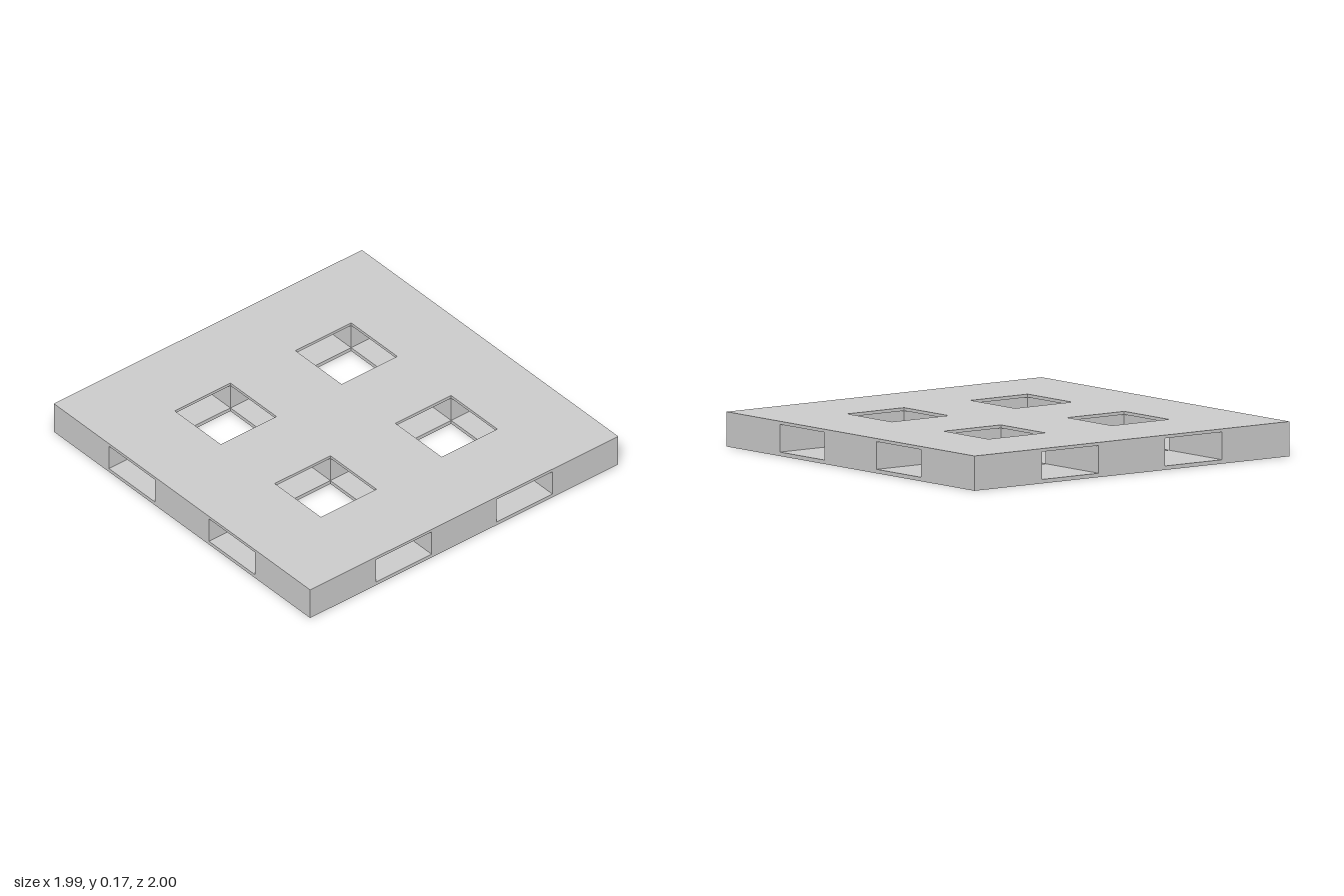
import * as THREE from 'three';

const HALF_X = 0.995, HALF_Z = 1, HEIGHT = 0.175;
const BOTTOM = 0.02, TOP = 0.016;        // deck thicknesses
const INNER = 0.21, OUTER = 0.57;        // edges of the fork channels

const material = new THREE.MeshStandardMaterial({ color: 0xcccccc, flatShading: true });

function addRect(path, x0, x1, y0, y1) {
  path.moveTo(x0, y0);
  path.lineTo(x1, y0);
  path.lineTo(x1, y1);
  path.lineTo(x0, y1);
  path.closePath();
  return path;
}

// Flat deck with four square openings, resting at height y
function deck(name, y, thickness) {
  const shape = addRect(new THREE.Shape(), -HALF_X, HALF_X, -HALF_Z, HALF_Z);
  const spans = [[-OUTER, -INNER], [INNER, OUTER]];
  for (const [x0, x1] of spans) {
    for (const [z0, z1] of spans) {
      shape.holes.push(addRect(new THREE.Path(), x0, x1, z0, z1));
    }
  }
  const geometry = new THREE.ExtrudeGeometry(shape, { depth: thickness, bevelEnabled: false });
  geometry.rotateX(-Math.PI / 2);
  const mesh = new THREE.Mesh(geometry, material);
  mesh.name = name;
  mesh.position.y = y;
  return mesh;
}

export function createModel() {
  const group = new THREE.Group();
  group.name = 'pallet';
  group.add(deck('bottomDeck', 0, BOTTOM));
  group.add(deck('topDeck', HEIGHT - TOP, TOP));

  // Nine spacer blocks, leaving two channels each way
  const blocks = new THREE.Group();
  blocks.name = 'spacerBlocks';
  const h = HEIGHT - TOP - BOTTOM;
  const spans = (half) => [[-half, -OUTER], [-INNER, INNER], [OUTER, half]];
  for (const [x0, x1] of spans(HALF_X)) {
    for (const [z0, z1] of spans(HALF_Z)) {
      const block = new THREE.Mesh(new THREE.BoxGeometry(x1 - x0, h, z1 - z0), material);
      block.name = 'spacerBlock';
      block.position.set((x0 + x1) / 2, BOTTOM + h / 2, (z0 + z1) / 2);
      blocks.add(block);
    }
  }
  group.add(blocks);
  return group;
}
